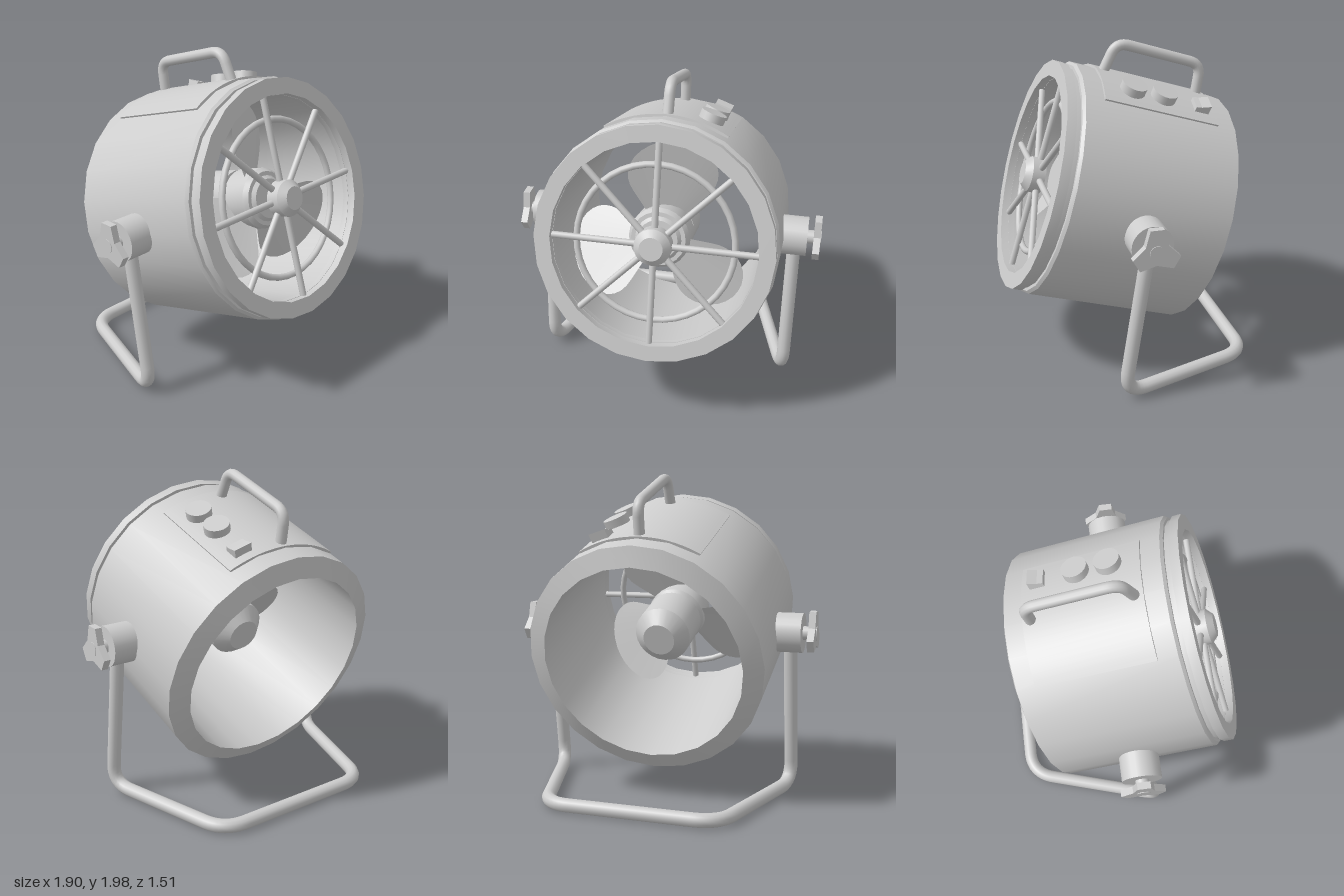
import * as THREE from 'three';
import { toCreasedNormals } from 'three/addons/utils/BufferGeometryUtils.js';

const TILT = THREE.MathUtils.degToRad(17);
const V = (x, y, z) => new THREE.Vector3(x, y, z);

export function createModel() {
  const grey = new THREE.MeshStandardMaterial({ color: 0xcccccc, side: THREE.DoubleSide });
  grey.name = 'light grey';
  const model = new THREE.Group();
  model.name = 'tiltingFan';

  const add = (parent, name, geometry) => {
    const mesh = new THREE.Mesh(geometry, grey);
    mesh.name = name;
    parent.add(mesh);
    return mesh;
  };
  const creased = (geometry) => toCreasedNormals(geometry, 0.5);
  // Profile of [radius, z] pairs turned around the z axis
  const turned = (pairs, sides = 24) => creased(
    new THREE.LatheGeometry(pairs.map(([r, z]) => new THREE.Vector2(r, z)), sides).rotateX(Math.PI / 2));
  // Round bar through points, with each inner corner rounded
  const bentTube = (points, bend, radius, steps) => {
    const path = new THREE.CurvePath();
    let from = points[0];
    for (let i = 1; i < points.length - 1; i++) {
      const p = points[i];
      const a = p.clone().add(points[i - 1].clone().sub(p).setLength(bend));
      const b = p.clone().add(points[i + 1].clone().sub(p).setLength(bend));
      path.add(new THREE.LineCurve3(from, a));
      path.add(new THREE.QuadraticBezierCurve3(a, p, b));
      from = b;
    }
    path.add(new THREE.LineCurve3(from, points[points.length - 1]));
    return new THREE.TubeGeometry(path, steps, radius, 12);
  };

  // Tilted head, axis along its own z
  const head = new THREE.Group();
  head.name = 'fanHead';
  head.position.y = 1.02;
  head.rotation.x = -TILT;
  model.add(head);

  add(head, 'drum', turned([
    [0.613, -0.535], [0.727, -0.487], [0.727, 0.465], [0.712, 0.482], [0.613, 0.482], [0.613, -0.535]]));
  add(head, 'neckRing', turned([
    [0.613, 0.478], [0.692, 0.478], [0.692, 0.52], [0.613, 0.52], [0.613, 0.478]]));
  add(head, 'frontRing', turned([
    [0.615, 0.513], [0.712, 0.513], [0.712, 0.57], [0.615, 0.57], [0.615, 0.513]]));

  // Front grille
  const grille = new THREE.Group();
  grille.name = 'grille';
  head.add(grille);
  for (let i = 0; i < 8; i++) {
    const spoke = add(grille, 'spoke', new THREE.CylinderGeometry(0.02, 0.02, 0.58, 10).translate(0, 0.335, 0));
    spoke.position.z = 0.52;
    spoke.rotation.z = i * Math.PI / 4;
  }
  add(grille, 'grilleRing', new THREE.TorusGeometry(0.472, 0.02, 10, 40)).position.z = 0.49;
  add(grille, 'grilleHub', turned([[0, 0.49], [0.11, 0.49], [0.11, 0.57], [0.07, 0.61], [0, 0.61]]));

  // Motor and rotor
  add(head, 'motor', turned([[0, -0.18], [0.1, -0.18], [0.178, -0.1], [0.178, 0.16], [0, 0.16]]));
  add(head, 'rotorHub', turned([
    [0, 0.15], [0.14, 0.15], [0.185, 0.2], [0.185, 0.36], [0.165, 0.39], [0.14, 0.39], [0.12, 0.41], [0, 0.41]]));

  // Wide pitched blades
  for (let k = 0; k < 3; k++) {
    const blade = new THREE.PlaneGeometry(2, 1, 12, 14);
    const pos = blade.attributes.position;
    for (let i = 0; i < pos.count; i++) {
      const u = Math.sin((pos.getY(i) + 0.5) * Math.PI / 2);
      const tip = Math.max(0, (u - 0.45) / 0.55);
      const angle = pos.getX(i) * 0.68 * Math.sqrt(Math.max(0, 1 - tip * tip));
      const r = 0.12 + 0.46 * u;
      const a = THREE.MathUtils.degToRad(82 + 120 * k) - angle;
      pos.setXYZ(i, r * Math.cos(a), r * Math.sin(a), 0.27 - angle * r * 0.5);
    }
    blade.computeVertexNormals();
    add(head, 'blade', blade);
  }

  // Curved control panel on top of the drum
  const panel = new THREE.Shape();
  panel.absarc(0, 0, 0.738, Math.PI / 3, 2 * Math.PI / 3, false);
  panel.absarc(0, 0, 0.7, 2 * Math.PI / 3, Math.PI / 3, true);
  add(head, 'controlPanel', creased(
    new THREE.ExtrudeGeometry(panel, { depth: 0.72, bevelEnabled: false, curveSegments: 10 }).translate(0, 0, -0.37)));

  // Controls stand radially on the panel
  const controls = new THREE.Group();
  controls.name = 'controls';
  controls.rotation.z = -0.33;
  head.add(controls);
  for (const z of [0.165, -0.03]) {
    add(controls, 'dial', new THREE.CylinderGeometry(0.078, 0.078, 0.07, 24)).position.set(0, 0.752, z);
  }
  const rocker = new THREE.Shape([[-0.045, 0], [0.045, 0], [0.045, 0.045], [0.01, 0.05], [-0.045, 0.07]]
    .map(([x, y]) => new THREE.Vector2(x, y)));
  add(controls, 'rockerSwitch', new THREE.ExtrudeGeometry(rocker, { depth: 0.11, bevelEnabled: false })
    .translate(0, 0, -0.055).rotateY(-Math.PI / 2)).position.set(0.01, 0.72, -0.27);

  add(head, 'carryHandle', bentTube(
    [V(0, 0.7, 0.3), V(0, 0.912, 0.265), V(0, 0.912, -0.295), V(0, 0.7, -0.325)], 0.075, 0.033, 48));

  // Pivot collars with three-lobed clamp knobs
  const star = new THREE.Shape();
  for (let i = 0; i < 3; i++) {
    const a = Math.PI / 2 + i * 2 * Math.PI / 3;
    const at = (r, d) => [r * Math.cos(a + d), r * Math.sin(a + d)];
    if (i === 0) star.moveTo(...at(0.14, -0.29));
    else star.lineTo(...at(0.14, -0.29));
    star.lineTo(...at(0.14, 0.29));
    star.lineTo(...at(0.075, Math.PI / 3));
  }
  for (const side of [0, 1]) {
    const pivot = new THREE.Group();
    pivot.name = side ? 'rightPivot' : 'leftPivot';
    pivot.position.set(0, 1.025, 0.01);
    pivot.rotation.y = side * Math.PI;
    if (side) pivot.scale.z = 1;
    model.add(pivot);
    const rod = (name, r, x0, x1) => add(pivot, name,
      new THREE.CylinderGeometry(r, r, x1 - x0, 24).rotateZ(Math.PI / 2).translate((x0 + x1) / 2, 0, 0));
    rod('pivotCollar', 0.122, 0.69, 0.868);
    rod('clampShaft', 0.042, 0.86, 0.952);
    add(pivot, 'clampKnob', new THREE.ExtrudeGeometry(star, { depth: 0.042, bevelEnabled: false })
      .rotateY(Math.PI / 2).translate(0.906, 0, 0));
  }

  // Bent tube stand: two legs, converging feet and a rear bar
  const half = [V(0.79, 0.98, 0.01), V(0.79, 0.043, 0.145), V(0.53, 0.043, -0.715)];
  const mirrored = half.map((p) => V(-p.x, p.y, p.z)).reverse();
  add(model, 'stand', bentTube([...half, ...mirrored], 0.15, 0.042, 160));

  return model;
}
